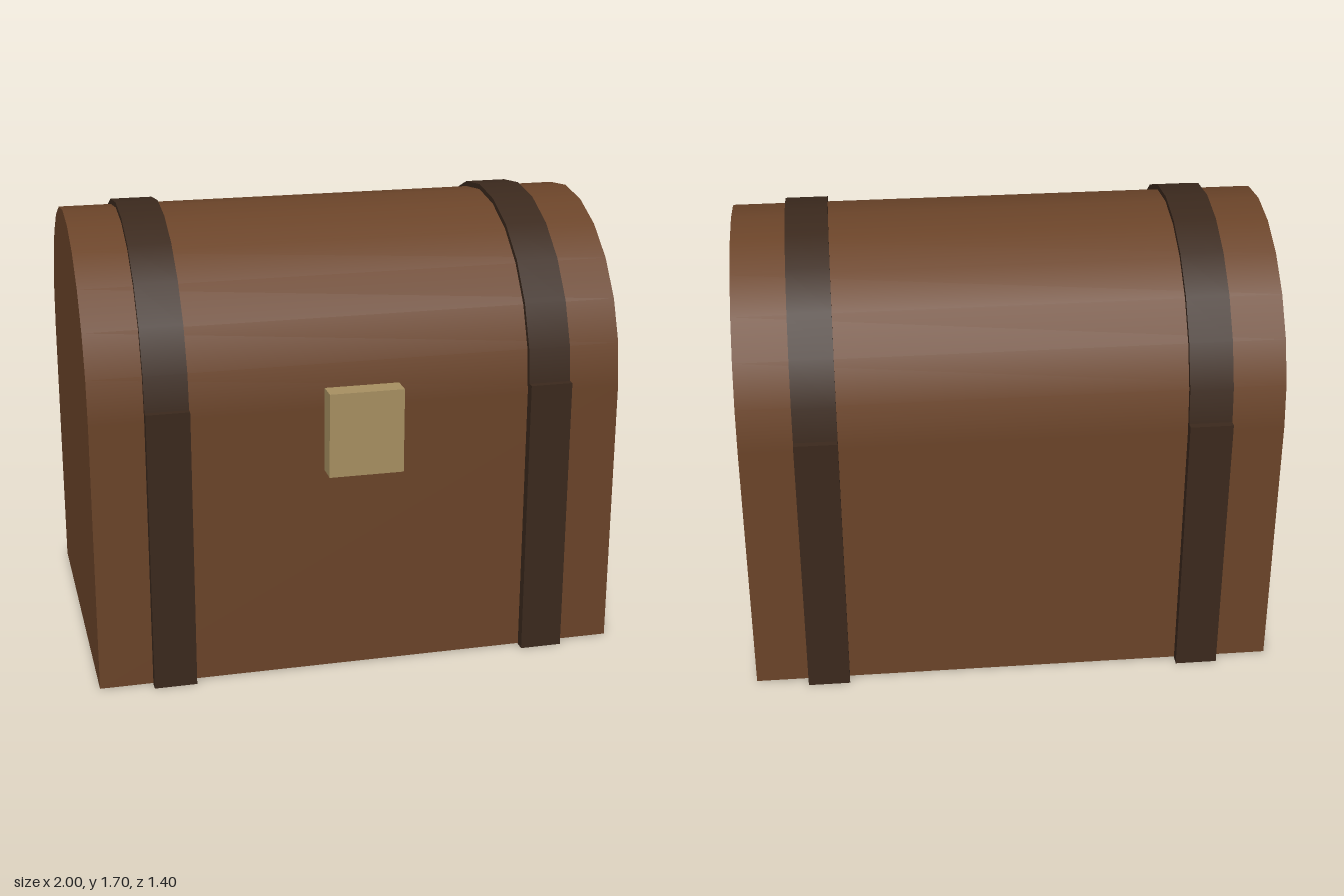
import * as THREE from 'three';

const WOOD = new THREE.MeshStandardMaterial({ color: 0x6b4429 });
const STRAP = new THREE.MeshStandardMaterial({ color: 0x3b291d });
const BRASS = new THREE.MeshStandardMaterial({ color: 0xa89162 });

const CENTER_Z = -0.02; // the clasp shifts the chest slightly back
const LID_Y = 1.04;     // where the straight walls meet the lid
const RADIUS = 0.64;

export function createModel() {
  const chest = new THREE.Group();
  chest.name = 'chest';

  const add = (name, geometry, material, x, y, z) => {
    const mesh = new THREE.Mesh(geometry, material);
    mesh.name = name;
    mesh.position.set(x, y, z);
    chest.add(mesh);
  };

  // Half barrel lying along x, with closed ends
  const halfBarrel = (radius, length) =>
    new THREE.CylinderGeometry(radius, radius, length, 12, 1, false, 0, Math.PI).rotateZ(Math.PI / 2);

  // Body, lifted a hair so the straps show cleanly underneath
  const lift = 0.003;
  add('body', new THREE.BoxGeometry(2, LID_Y - lift, RADIUS * 2), WOOD, 0, (LID_Y + lift) / 2, CENTER_Z);
  add('lid', halfBarrel(RADIUS, 2), WOOD, 0, LID_Y, CENTER_Z);

  // Straps around the walls and over the lid
  for (const [side, x] of [['left', 0.72], ['right', -0.72]]) {
    add(side + 'BodyStrap', new THREE.BoxGeometry(0.16, 1.08, 1.36), STRAP, x, 0.54, CENTER_Z);
    add(side + 'LidStrap', halfBarrel(RADIUS + 0.02, 0.16), STRAP, x, LID_Y, CENTER_Z);
  }

  // Clasp on the front
  add('clasp', new THREE.BoxGeometry(0.28, 0.32, 0.08), BRASS, 0, 0.96, 0.66);

  return chest;
}
